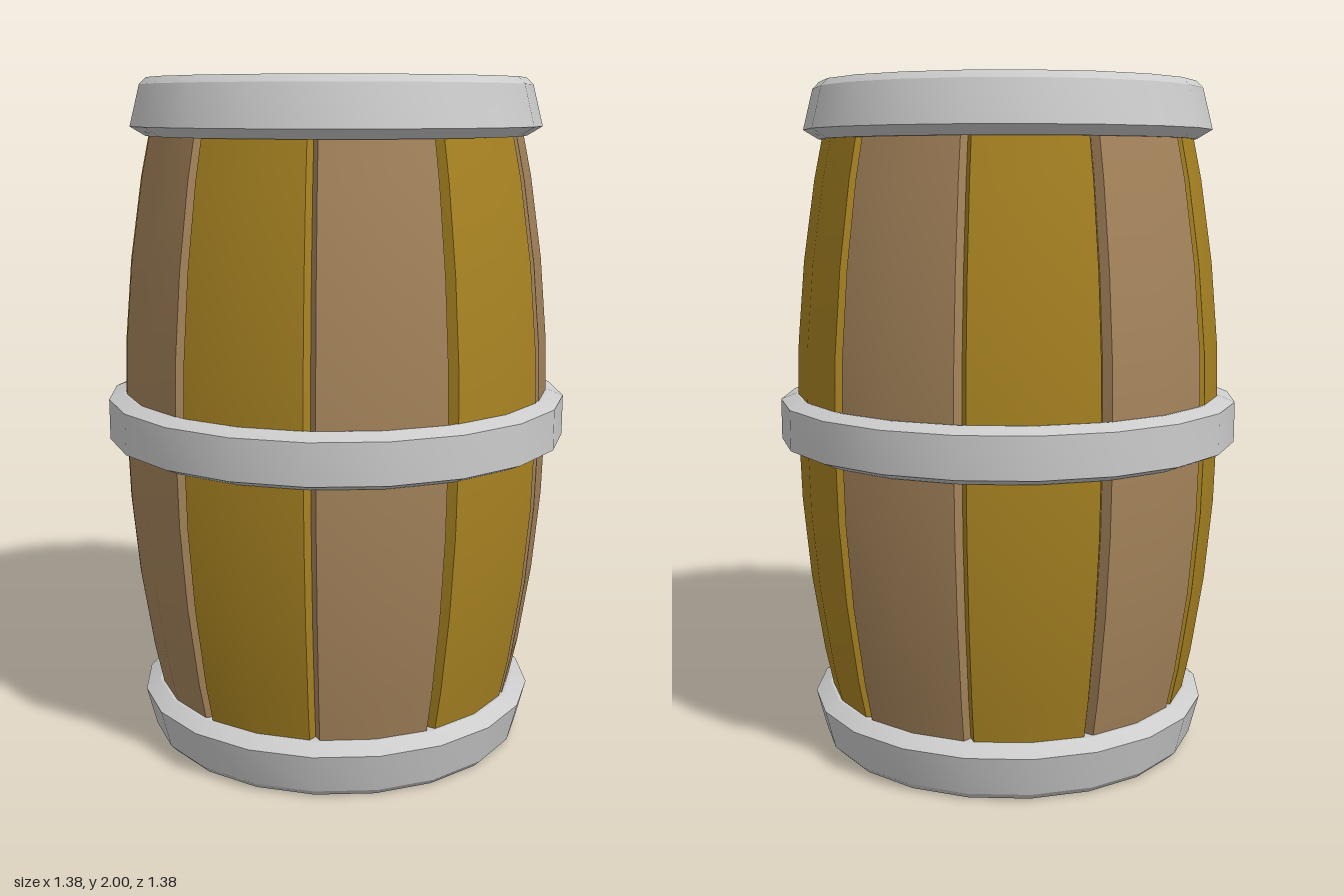
import * as THREE from 'three';
import { toCreasedNormals } from 'three/addons/utils/BufferGeometryUtils.js';

const DEG = Math.PI / 180;
const grey = new THREE.MeshStandardMaterial({ color: 0xcccccc });
const gold = new THREE.MeshStandardMaterial({ color: 0xa88322 });
const brown = new THREE.MeshStandardMaterial({ color: 0xa5845b });

function mesh(name, geometry, material) {
  const m = new THREE.Mesh(toCreasedNormals(geometry, 22 * DEG), material);
  m.name = name;
  return m;
}

// Closed ring: profile of [radius, y], counterclockwise from the bottom inside
function hoop(name, profile) {
  const pts = [...profile, profile[0]].map(([r, y]) => new THREE.Vector2(r, y));
  return mesh(name, new THREE.LatheGeometry(pts, 20), grey);
}

// One bulging stave, 36 degrees wide, with chamfered long edges
function staveGeometry() {
  const section = [[-18, -0.07], [-18, -0.025], [-16.5, 0], [0, 0],
    [16.5, 0], [18, -0.025], [18, -0.07], [0, -0.07]]; // [angle, inset]
  const rows = 8, n = section.length, pos = [], idx = [];
  for (let j = 0; j <= rows; j++) {
    const y = 0.04 + 1.92 * j / rows;
    const bulge = 0.64 - 0.125 * (y - 1) ** 2;
    for (const [a, inset] of section) {
      const r = bulge + inset;
      pos.push(r * Math.sin(a * DEG), y, r * Math.cos(a * DEG));
    }
  }
  for (let j = 0; j < rows; j++) {
    for (let i = 0; i < n; i++) {
      const a = j * n + i, b = j * n + (i + 1) % n;
      idx.push(a, b, b + n, a, b + n, a + n);
    }
  }
  const g = new THREE.BufferGeometry();
  g.setAttribute('position', new THREE.Float32BufferAttribute(pos, 3));
  g.setIndex(idx);
  return g;
}

// Plank cut from a disc between two parallel chords, with bevelled edges
function plankGeometry(from, to, R) {
  const t0 = Math.acos(to / R), t1 = Math.acos(from / R), arc = [];
  for (let i = 0; i <= 6; i++) {
    const t = t0 + (t1 - t0) * i / 6;
    arc.push(new THREE.Vector2(R * Math.cos(t), R * Math.sin(t)));
  }
  const lower = arc.map(p => new THREE.Vector2(p.x, -p.y)).reverse();
  if (t0 < 1e-6) lower.pop();
  if (Math.abs(t1 - Math.PI) < 1e-6) lower.shift();
  const g = new THREE.ExtrudeGeometry(new THREE.Shape([...arc, ...lower]), {
    depth: 0.03, bevelThickness: 0.015, bevelSize: 0.015, bevelOffset: -0.015, bevelSegments: 1,
  });
  return g.rotateX(-Math.PI / 2).rotateY(-18 * DEG);
}

function lid(name) {
  const g = new THREE.Group(), R = 0.5;
  g.name = name;
  const cuts = [-R, -0.265, 0, 0.265, R];
  for (let i = 0; i < 4; i++) {
    g.add(mesh('lidPlank', plankGeometry(cuts[i], cuts[i + 1], R), i % 2 ? brown : gold));
  }
  return g;
}

export function createModel() {
  const model = new THREE.Group();
  model.name = 'barrel';

  // Ten staves in alternating colours
  const staves = new THREE.Group();
  staves.name = 'staves';
  const geo = staveGeometry();
  for (let k = 0; k < 10; k++) {
    const s = mesh('stave', geo, k % 2 ? gold : brown);
    s.rotation.y = k * 36 * DEG;
    staves.add(s);
  }
  model.add(staves);

  // End hoops mirror each other; the middle hoop is wider
  const rim = [[0.45, 1.835], [0.56, 1.835], [0.605, 1.862], [0.575, 1.98],
    [0.555, 2], [0.472, 2], [0.45, 1.975]];
  model.add(hoop('topHoop', rim));
  model.add(hoop('bottomHoop', rim.map(([r, y]) => [r, 2 - y]).reverse()));
  model.add(hoop('middleHoop', [[0.635, 0.925], [0.645, 0.925], [0.69, 0.945],
    [0.69, 1.065], [0.645, 1.083], [0.635, 1.083]]));

  // Recessed lids; the lower one is turned over
  const top = lid('topLid'), bottom = lid('bottomLid');
  top.position.y = 1.895;
  bottom.position.y = 0.105;
  bottom.rotation.z = Math.PI;
  model.add(top, bottom);
  return model;
}
